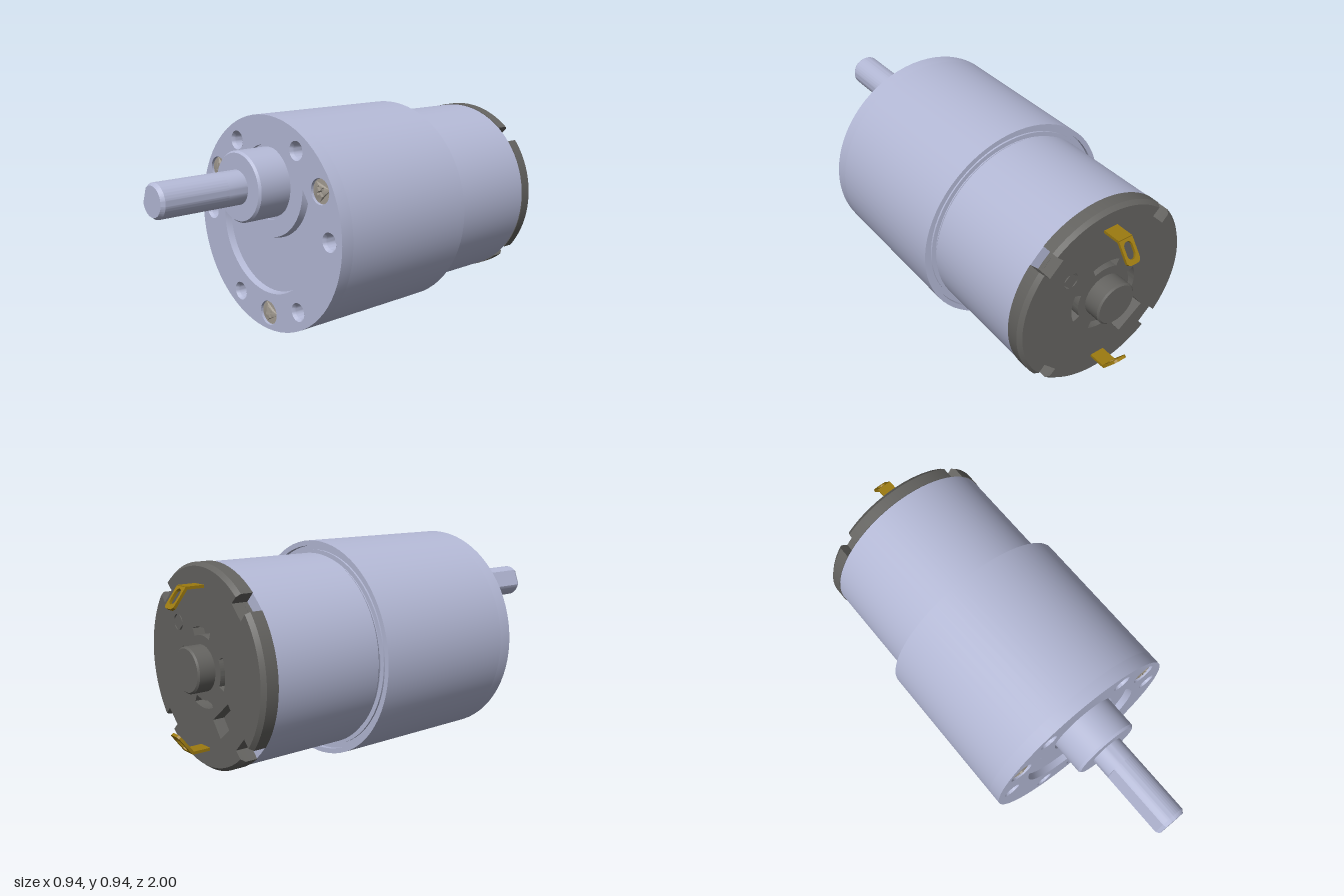
import * as THREE from 'three';
import { toCreasedNormals } from 'three/addons/utils/BufferGeometryUtils.js';

const paint = (color) => new THREE.MeshStandardMaterial({ color });
const steel = paint(0xb4b9d6), dark = paint(0x646360), screwMetal = paint(0xa39c92), brass = paint(0x9c7a10);
const steelThin = paint(0xb4b9d6);
steelThin.side = THREE.DoubleSide;

const SEG = 72, SHAFT_Y = 0.185;

function add(parent, name, geo, mat, x = 0, y = 0, z = 0) {
  const mesh = new THREE.Mesh(geo, mat);
  mesh.name = name;
  mesh.position.set(x, y, z);
  parent.add(mesh);
  return mesh;
}

// Solid of revolution about z; profile of [radius, z]
function turn(profile, seg = SEG) {
  const g = new THREE.LatheGeometry(profile.map(([r, z]) => new THREE.Vector2(r, z)), seg);
  g.rotateX(Math.PI / 2);
  return toCreasedNormals(g, 0.5);
}

// Extrusion along z; an optional rule moves the vertices
function extrude(shape, depth, steps = 1, rule = null, curveSegments = 36) {
  const g = new THREE.ExtrudeGeometry(shape, { depth, steps, bevelEnabled: false, curveSegments });
  if (rule) {
    const p = g.attributes.position, v = new THREE.Vector3();
    for (let i = 0; i < p.count; i++) {
      rule(v.fromBufferAttribute(p, i));
      p.setXYZ(i, v.x, v.y, v.z);
    }
  }
  return toCreasedNormals(g, 0.5);
}

const circle = (r, x = 0, y = 0, Type = THREE.Path) => new Type().absarc(x, y, r, 0, Math.PI * 2, false);
const polar = (r, a) => new THREE.Vector2(r * Math.cos(a), r * Math.sin(a));
const rad = THREE.MathUtils.degToRad;

// Crescent outline: big circle minus a circle around the shaft
function crescent(inset) {
  const R = 0.302 - inset, r = 0.235 + inset, c = SHAFT_Y, n = 48, pts = [];
  const y = (R * R - r * r + c * c) / (2 * c), x = Math.sqrt(R * R - y * y);
  const a = Math.atan2(y, x), b = Math.atan2(y - c, x);
  for (let i = 0; i < n; i++) pts.push(polar(R, a - (Math.PI + 2 * a) * i / n));
  for (let i = 0; i < n; i++) {
    const p = polar(r, Math.PI - b + (Math.PI + 2 * b) * i / n);
    pts.push(p.setY(p.y + c));
  }
  return pts;
}

// Strip joining two closed outlines
function loft(a, za, b, zb) {
  const pos = [], idx = [], n = a.length;
  for (let i = 0; i < n; i++) {
    pos.push(a[i].x, a[i].y, za, b[i].x, b[i].y, zb);
    const p = 2 * i, q = 2 * ((i + 1) % n);
    idx.push(p, p + 1, q, q, p + 1, q + 1);
  }
  const g = new THREE.BufferGeometry();
  g.setAttribute('position', new THREE.Float32BufferAttribute(pos, 3));
  g.setIndex(idx);
  g.computeVertexNormals();
  return toCreasedNormals(g, 0.5);
}

function buildGearbox(root) {
  const g = new THREE.Group();
  g.name = 'gearbox';
  root.add(g);
  add(g, 'gearboxBody', turn([[0, -0.28], [0.43, -0.28], [0.43, -0.272], [0.448, -0.272], [0.448, -0.29],
    [0.47, -0.29], [0.47, 0.39], [0, 0.39]]), steel);

  // Face plate with screw holes, mounting holes, crescent recess and shaft boss opening
  const plate = circle(0.47, 0, 0, THREE.Shape);
  plate.holes.push(circle(0.16, 0, SHAFT_Y), new THREE.Path(crescent(0)));
  for (let i = 0; i < 6; i++) {
    const p = polar(0.395, i * Math.PI / 3);
    plate.holes.push(circle(0.041, p.x, p.y));
    add(g, 'mountingHole', turn([[0.033, 0.39], [0.033, 0.435], [0.041, 0.45]], 36), steelThin, p.x, p.y);
  }
  [30, 150, 270].forEach((deg, i) => {
    const p = polar(0.395, rad(deg));
    plate.holes.push(circle(0.054, p.x, p.y));
    addScrew(g, p, rad([35, 8, 20][i]));
  });
  add(g, 'facePlate', extrude(plate, 0.06), steel, 0, 0, 0.39);
  const floor = crescent(0.006);
  add(g, 'recessWall', loft(crescent(0), 0.45, floor, 0.42), steelThin);
  add(g, 'recessFloor', new THREE.ShapeGeometry(new THREE.Shape(floor)), steel, 0, 0, 0.42);
}

// Domed screw head with a cross recess
function addScrew(parent, p, angle) {
  const head = circle(0.052, 0, 0, THREE.Shape), w = 0.006, l = 0.024, cross = [];
  for (let i = 0; i < 4; i++) {
    for (const [x, y] of [[l, -w], [l, w], [w, w]]) {
      cross.push(new THREE.Vector2(x, y).rotateAround(new THREE.Vector2(), i * Math.PI / 2));
    }
  }
  head.holes.push(new THREE.Path(cross));
  const dome = (v) => { if (v.z > 0.03) v.z -= 4 * (v.x * v.x + v.y * v.y); };
  const screw = new THREE.Group();
  screw.name = 'screw';
  screw.position.set(p.x, p.y, 0.39);
  screw.rotation.z = angle;
  parent.add(screw);
  add(screw, 'screwHead', extrude(head, 0.06, 1, dome, 24), screwMetal);
  add(screw, 'screwRecessFloor', turn([[0, 0], [0.04, 0], [0.04, 0.035], [0, 0.035]], 24), screwMetal);
}

function buildShaft(root) {
  const g = new THREE.Group();
  g.name = 'outputShaft';
  g.position.y = SHAFT_Y;
  root.add(g);
  add(g, 'shaftBoss', turn([[0, 0.39], [0.16, 0.39], [0.16, 0.435], [0.15, 0.435], [0.15, 0.59],
    [0.142, 0.6], [0, 0.6]]), steel);
  add(g, 'shaftRound', turn([[0, 0.59], [0.073, 0.59], [0.073, 0.69], [0, 0.69]], 48), steel);
  // D-shaped end with a chamfered tip
  const d = new THREE.Shape().absarc(0, 0, 0.073, rad(192), rad(488), false);
  const tip = (v) => { if (v.z > 0.309) { v.x *= 0.86; v.y *= 0.86; } };
  add(g, 'shaftFlatted', extrude(d, 0.31, 20, tip, 48), steel, 0, 0, 0.69);
}

function buildMotor(root) {
  const g = new THREE.Group();
  g.name = 'motor';
  root.add(g);
  add(g, 'motorCan', turn([[0, -0.79], [0.417, -0.79], [0.417, -0.295], [0.41, -0.285], [0.41, -0.27], [0, -0.27]]), steel);
  add(g, 'capBase', turn([[0, -0.81], [0.364, -0.81], [0.364, -0.785], [0, -0.785]]), dark);

  // End cap: four edge notches, vent slots, a window and a polarity mark
  const cap = new THREE.Shape(), half = 0.1;
  for (let i = 0; i < 4; i++) {
    const a = Math.PI / 4 + i * Math.PI / 2;
    const p = polar(0.365, a - half * 1.15), q = polar(0.365, a + half * 1.15);
    if (i === 0) cap.moveTo(p.x, p.y); else cap.lineTo(p.x, p.y);
    cap.lineTo(q.x, q.y);
    cap.absarc(0, 0, 0.42, a + half, a + Math.PI / 2 - half, false);
  }
  for (let i = 0; i < 4; i++) {
    const a = i * Math.PI / 2;
    cap.holes.push(new THREE.Path().absarc(0, 0, 0.165, a - 0.42, a + 0.42, false)
      .absarc(0, 0, 0.132, a + 0.42, a - 0.42, true));
    const c = polar(0.009, a + Math.PI / 4).add(new THREE.Vector2(0.18, 0.16));
    cap.holes.push(new THREE.Path().moveTo(c.x, c.y).absarc(c.x, c.y, 0.026, a, a + Math.PI / 2, false));
  }
  const mid = polar(0.24, rad(232)), o = new THREE.Vector2();
  cap.holes.push(new THREE.Path([[-1, -1], [1, -1], [1, 1], [-1, 1]].map(([x, y]) =>
    new THREE.Vector2(x * 0.042, y * 0.072).rotateAround(o, rad(232)).add(mid))));
  const chamfer = (v) => {
    if (v.z < 0.001 && Math.hypot(v.x, v.y) > 0.41) { v.x *= 0.965; v.y *= 0.965; }
  };
  add(g, 'endCap', extrude(cap, 0.07, 4, chamfer, 24), dark, 0, 0, -0.86);
  add(g, 'rearBearing', turn([[0, -0.935], [0.088, -0.935], [0.095, -0.928], [0.095, -0.8], [0, -0.8]], 48), dark);

  // Bent solder tabs, mirrored top and bottom
  const w = 0.033, len = 0.1;
  const tab = new THREE.Shape().moveTo(-w, 0).lineTo(w, 0).lineTo(w, len - 0.018)
    .absarc(w - 0.018, len - 0.018, 0.018, 0, Math.PI / 2, false)
    .absarc(-w + 0.018, len - 0.018, 0.018, Math.PI / 2, Math.PI, false);
  tab.holes.push(new THREE.Path().absarc(0, 0.03, 0.02, Math.PI, Math.PI * 2, false)
    .absarc(0, 0.06, 0.02, 0, Math.PI, false));
  for (const s of [1, -1]) {
    const t = new THREE.Group();
    t.name = s > 0 ? 'upperTerminal' : 'lowerTerminal';
    t.scale.y = s;
    g.add(t);
    add(t, 'terminalBase', new THREE.BoxGeometry(2 * w, 0.012, 0.1), brass, 0, 0.33, -0.888);
    const bent = extrude(tab, 0.012, 1, (v) => { v.z -= 0.006; }, 12);
    add(t, 'terminalTab', bent, brass, 0, 0.33, -0.936).rotation.x = Math.atan2(-0.6, -0.8);
  }
}

export function createModel() {
  const model = new THREE.Group();
  model.name = 'gearMotor';
  const root = new THREE.Group();
  root.name = 'assembly';
  root.position.y = 0.47;
  model.add(root);
  buildGearbox(root);
  buildShaft(root);
  buildMotor(root);
  return model;
}
